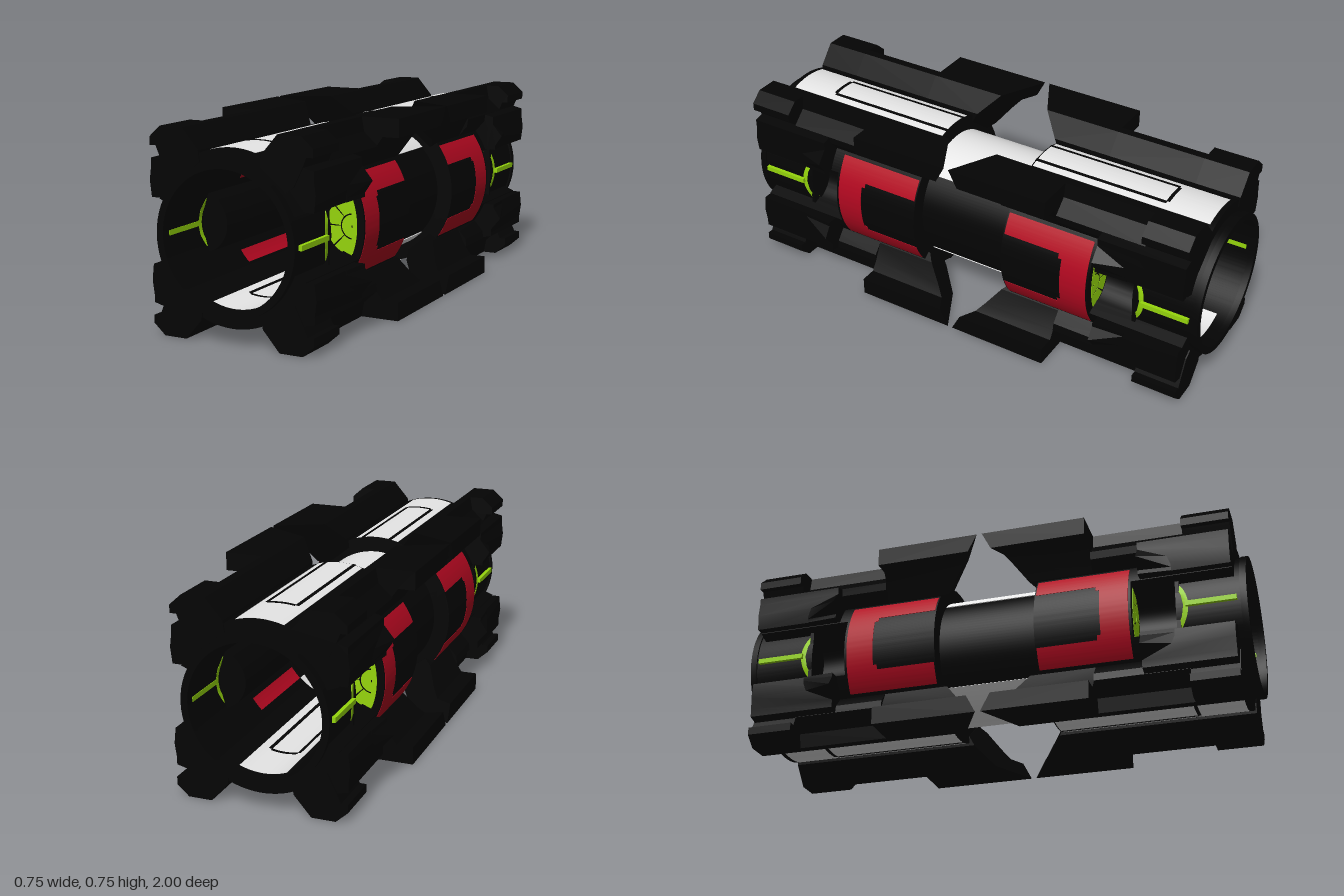
import * as THREE from 'three';
import { toCreasedNormals } from 'three/addons/utils/BufferGeometryUtils.js';

const mat = (name, color) => new THREE.MeshStandardMaterial({ name, color });

export function createModel() {
  const black = mat('black', 0x040404);
  const white = mat('pale grey', 0xe6e6e6);
  const red = mat('red', 0xb20820);
  const green = mat('green', 0x96d60c);

  const model = new THREE.Group();
  model.name = 'cylinderModule';
  model.position.y = 0.375;

  // Prism from a shape between two depths; the rule may move its vertices
  function prism(shape, z0, z1, rule) {
    const g = new THREE.ExtrudeGeometry(shape, { depth: z1 - z0, bevelEnabled: false, curveSegments: 16 });
    g.translate(0, 0, z0);
    if (rule) {
      const p = g.attributes.position;
      for (let i = 0; i < p.count; i++) {
        const [x, y, z] = rule(p.getX(i), p.getY(i), p.getZ(i));
        p.setXYZ(i, x, y, z);
      }
    }
    return toCreasedNormals(g, 0.5);
  }

  const poly = (pts) => new THREE.Shape(pts.map(([x, y]) => new THREE.Vector2(x, y)));

  // Ring segment shape around (cx, 0)
  function ring(cx, r0, r1, a0, a1) {
    const s = new THREE.Shape();
    s.absarc(cx, 0, r1, a0, a1, false);
    s.absarc(cx, 0, r0, a1, a0, true);
    return s;
  }

  // Curved slab: part of a tube wall between two angles
  const sector = (r0, r1, z0, z1, a0, a1, rule) => prism(ring(0, r0, r1, a0, a1), z0, z1, rule);

  // Mirrored copy with the face order kept outward
  function mirrored(geo, sx, sy, sz) {
    const g = geo.index ? geo.toNonIndexed() : geo.clone();
    g.scale(sx, sy, sz);
    if (sx * sy * sz < 0) {
      for (const key of ['position', 'normal']) {
        const a = g.attributes[key].array;
        for (let i = 0; i < a.length; i += 9)
          for (let k = 0; k < 3; k++) [a[i + 3 + k], a[i + 6 + k]] = [a[i + 6 + k], a[i + 3 + k]];
      }
    }
    g.deleteAttribute('uv');
    return g;
  }

  function add(name, geo, material, axes = 'xyz') {
    const signs = (axis) => (axes.includes(axis) ? [1, -1] : [1]);
    for (const sx of signs('x')) for (const sy of signs('y')) for (const sz of signs('z')) {
      const mesh = new THREE.Mesh(mirrored(geo, sx, sy, sz), material);
      mesh.name = name;
      model.add(mesh);
    }
  }

  const H = Math.PI / 2;
  const recess = 0.38;

  // Tube: liner and thick outer wall, with an open pocket on each side
  add('liner', sector(0.25, 0.269, 0.2, 1, recess, H), black);
  add('sideFloor', sector(0.25, 0.269, 0.735, 1, -recess, recess), black, 'xz');
  add('outerWall', sector(0.268, 0.315, 0.2, 0.955, recess, H), black);
  add('sideWall', sector(0.25, 0.315, 0.2, 0.575, -recess, recess), black, 'xz');
  add('endLip', sector(0.25, 0.276, 0.975, 1, -H, H), black, 'xz');

  // Centre drum
  add('drumSide', sector(0.245, 0.252, -0.2, 0.2, -0.8, 0.8), black, 'x');
  add('drumPlate', sector(0.247, 0.255, -0.2, 0.2, H - 0.8, H + 0.8), white, 'y');

  // Long pale strips outside and inside, each with a dark outline
  const strip = (name, r0, r1, lineR0, lineR1, r) => {
    const wide = Math.asin(0.09 / r), a = Math.asin(0.063 / r), b = Math.asin(0.051 / r);
    add(name, sector(r0, r1, 0.205, 0.935, H - wide, H + wide), white, 'yz');
    add(name + 'OutlineSide', sector(lineR0, lineR1, 0.2, 0.748, H - a, H - b), black);
    add(name + 'OutlineEnd', sector(lineR0, lineR1, 0.745, 0.758, H - b, H + b), black, 'yz');
  };
  strip('outerStrip', 0.314, 0.3163, 0.3155, 0.318, 0.315);
  strip('innerStrip', 0.2488, 0.251, 0.2475, 0.2495, 0.25);

  // Red brackets on both sides, with arms showing in the bore
  add('bracketArm', sector(0.314, 0.3165, 0.205, 0.565, 0.36, 0.63), red);
  add('bracketBar', sector(0.314, 0.3165, 0.455, 0.565, -0.36, 0.36), red, 'xz');
  add('bracketCorner', sector(0.314, 0.3165, 0.44, 0.457, 0.3, 0.36), red);
  add('innerBracketArm', sector(0.2488, 0.251, 0.205, 0.565, 0.58, 0.8), red);

  // Half-round pods in the bore: solid body, hollow pocket and end cap
  const halfDisc = new THREE.Shape();
  halfDisc.absarc(0.263, 0, 0.115, H, 3 * H, false);
  add('podBody', prism(halfDisc, 0.2, 0.575), black, 'xz');
  add('podShell', prism(ring(0.263, 0.108, 0.115, H, 3 * H), 0.57, 0.74), black, 'xz');
  add('podCap', prism(halfDisc, 0.735, 0.75), black, 'xz');

  // Green fan on the pocket wall: four blades, a hub and an outer band
  for (let i = 0; i < 4; i++) {
    const a = H + 0.03 + i * (H / 2);
    add('fanBlade', prism(ring(0.269, 0.048, 0.105, a, a + H / 2 - 0.06), 0.57, 0.576), green, 'xz');
  }
  add('fanHub', prism(ring(0.269, 0.005, 0.043, H, 3 * H), 0.57, 0.576), green, 'xz');
  add('fanBand', sector(0.269, 0.287, 0.57, 0.576, -0.36, 0.36), green, 'xz');

  // Green forked line on the recessed floor and in the bore
  const bow = (x, y, z) => [x, y, z + 0.03 * (1 - (y / 0.09) ** 2)];
  add('sideArc', sector(0.2675, 0.2705, 0.733, 0.752, -0.33, 0.33, bow), green, 'xz');
  add('innerArc', sector(0.2488, 0.251, 0.733, 0.752, -0.36, 0.36, bow), green, 'xz');
  const line = (x, w) => new THREE.BoxGeometry(w, 0.019, 0.19).translate(x, 0, 0.868);
  add('sideLine', line(0.275, 0.016), green, 'xz');
  add('innerLine', line(0.25, 0.004), green, 'xz');

  // Corner rails: wide centre block with slanted tip, low waist and chamfered end block
  const rail = (...outer) => poly([
    [0.19, 0.375], ...outer, [0.25, 0.2], [0.22, 0.18], [0.12, 0.26], [0.125, 0.3],
  ]);
  const wide = rail([0.375, 0.375], [0.375, 0.305], [0.31, 0.305], [0.285, 0.27]);
  add('railCentre', prism(wide, 0, 0.42, (x, y, z) =>
    [x, y, z < 0.2 ? Math.min(0.2, 0.01 + 0.52 * (0.75 - x - y)) : z]), black);
  add('railWaist', prism(rail([0.225, 0.375], [0.235, 0.32], [0.29, 0.27], [0.285, 0.24]), 0.42, 0.78), black);
  add('railEnd', prism(rail([0.28, 0.375], [0.325, 0.335], [0.325, 0.305], [0.3, 0.305], [0.285, 0.27]), 0.78, 0.96), black);

  // Side lobes beside the recesses, with a tapering fin
  add('sideLobe', prism(poly([
    [0.24, 0.24], [0.285, 0.27], [0.325, 0.26], [0.325, 0.23], [0.332, 0.18], [0.325, 0.12], [0.28, 0.12], [0.24, 0.2],
  ]), 0.61, 0.955), black);
  add('sideFin', prism(poly([
    [0.3, 0.23], [0.325, 0.23], [0.366, 0.18], [0.336, 0.135], [0.336, 0.12], [0.3, 0.12],
  ]), 0.61, 0.735, (x, y, z) => [z > 0.7 ? Math.min(x, 0.328) : x, y, z]), black);

  return model;
}
